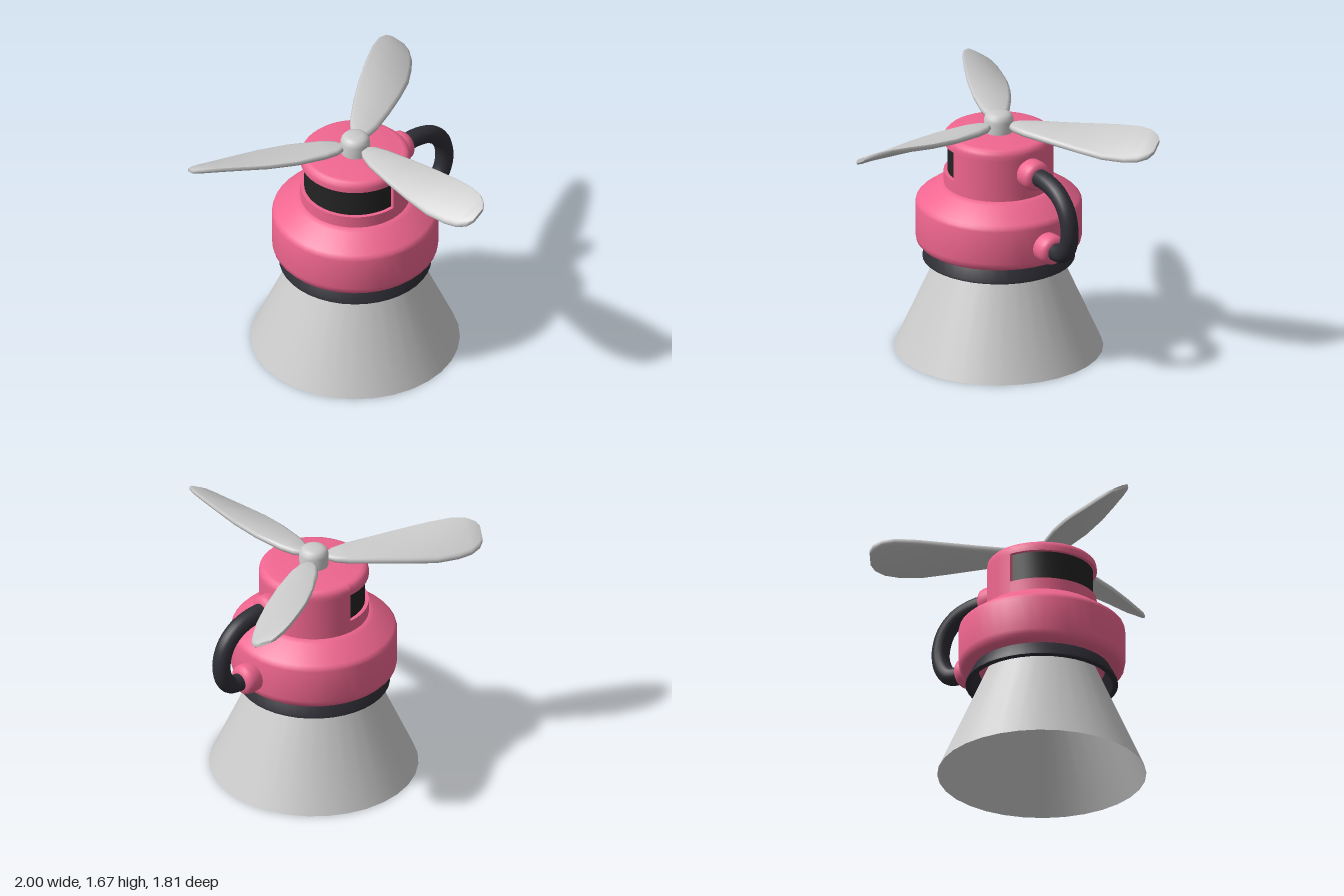
import * as THREE from 'three';
import { toCreasedNormals } from 'three/addons/utils/BufferGeometryUtils.js';

const mat = (color, side = THREE.FrontSide) => new THREE.MeshStandardMaterial({ color, side });
const grey = mat(0xcccccc);
const greyOpen = mat(0xcccccc, THREE.DoubleSide);
const pink = mat(0xf06690);
const black = mat(0x2e2e36);
const glass = mat(0x242424);

function add(parent, name, geometry, material) {
  const mesh = new THREE.Mesh(geometry, material);
  mesh.name = name;
  parent.add(mesh);
  return mesh;
}

// Turned part from [radius, height] pairs, listed bottom to top on the outside
function turned(points, start = 0, sweep = Math.PI * 2, segments = 40) {
  const profile = points.map(([r, y]) => new THREE.Vector2(r, y));
  return toCreasedNormals(new THREE.LatheGeometry(profile, segments, start, sweep), 0.65);
}

// Twisted propeller blade along +z, skinned over rounded cross-sections
function bladeGeometry() {
  // distance from hub, right edge, left edge, slope, thickness
  const stations = [
    [0.09, -0.03, 0.04, 0.05, 0.04],
    [0.13, -0.06, 0.07, 0.05, 0.05],
    [0.22, -0.09, 0.10, 0.08, 0.05],
    [0.42, -0.118, 0.135, 0.15, 0.045],
    [0.62, -0.132, 0.155, 0.27, 0.042],
    [0.80, -0.132, 0.16, 0.42, 0.04],
    [0.95, -0.11, 0.157, 0.53, 0.04],
    [1.04, -0.087, 0.142, 0.57, 0.04],
    [1.10, -0.052, 0.112, 0.58, 0.038],
    [1.125, -0.015, 0.08, 0.58, 0.025],
  ];
  const half = 5, n = half * 2;
  const pos = [], index = [];
  for (const [z, lo, hi, slope, t] of stations) {
    const r = t / 2;
    for (let j = 0; j < n; j++) {
      const right = j < half;
      const a = (right ? -0.5 : 0.5) * Math.PI + ((j % half) / (half - 1)) * Math.PI;
      const x = (right ? hi - r : lo + r) + r * Math.cos(a);
      pos.push(x, slope * x + r * Math.sin(a), z);
    }
  }
  const last = stations.length - 1;
  for (let i = 0; i < last; i++) {
    for (let j = 0; j < n; j++) {
      const k = (j + 1) % n;
      const a = i * n + j, b = i * n + k, c = b + n, d = a + n;
      index.push(a, b, d, b, c, d);
    }
  }
  // end caps
  for (let j = 1; j < n - 1; j++) {
    index.push(0, j + 1, j);
    index.push(last * n, last * n + j, last * n + j + 1);
  }
  const g = new THREE.BufferGeometry();
  g.setAttribute('position', new THREE.Float32BufferAttribute(pos, 3));
  g.setIndex(index);
  return toCreasedNormals(g, 0.85);
}

export function createModel() {
  const model = new THREE.Group();
  model.name = 'propellerDevice';
  const body = new THREE.Group();
  body.name = 'body';
  body.position.set(0.005, 0, -0.22);
  model.add(body);

  // Open flared cone and the collar above it
  add(body, 'nozzleCone', new THREE.CylinderGeometry(0.352, 0.685, 0.75, 32, 1, true).translate(0, 0.375, 0), greyOpen);
  add(body, 'collar', turned([
    [0.41, 0.745], [0.465, 0.635], [0.49, 0.635], [0.5, 0.64], [0.498, 0.655], [0.45, 0.745],
  ]), black);

  // Wide drum with rounded rims and sloped shoulder
  add(body, 'drum', turned([
    [0.3, 0.74], [0.495, 0.74], [0.522, 0.748], [0.54, 0.768], [0.546, 0.8], [0.546, 1.025],
    [0.54, 1.046], [0.525, 1.062], [0.395, 1.152], [0.375, 1.163], [0.35, 1.168], [0.2, 1.168],
  ]), pink);

  // Head: plain half on the left, half with a recessed band on the right
  const foot = [[0.36, 1.16], [0.36, 1.25]];
  const crown = [[0.36, 1.45], [0.36, 1.48], [0.354, 1.502], [0.338, 1.518], [0.315, 1.524], [0, 1.524]];
  add(body, 'headPlainHalf', turned([...foot, ...crown], 0, Math.PI, 24), pink);
  add(body, 'headWindowHalf', turned([...foot, [0.33, 1.25], [0.33, 1.45], ...crown], Math.PI, Math.PI, 24), pink);
  add(body, 'window', turned([[0.335, 1.25], [0.335, 1.45]], Math.PI, Math.PI, 24), glass);
  for (const s of [1, -1]) {
    const jamb = new THREE.PlaneGeometry(0.03, 0.2).rotateY(-Math.PI / 2).translate(0, 1.35, s * 0.345);
    add(body, 'windowJamb', jamb, pink);
  }

  // Sockets and the curved hose between them
  const socket = turned([
    [0.085, -0.02], [0.1, 0], [0.102, 0.07], [0.096, 0.095], [0.08, 0.112], [0.06, 0.117], [0, 0.117],
  ], 0, Math.PI * 2, 28).rotateZ(-Math.PI / 2);
  add(body, 'upperSocket', socket, pink).position.set(0.35, 1.345, 0);
  add(body, 'lowerSocket', socket, pink).position.set(0.535, 0.885, 0);
  const path = new THREE.CatmullRomCurve3([
    [0.42, 1.345], [0.55, 1.342], [0.68, 1.3], [0.772, 1.21], [0.81, 1.075],
    [0.788, 0.965], [0.735, 0.9], [0.66, 0.884], [0.58, 0.884],
  ].map(([x, y]) => new THREE.Vector3(x, y, 0)));
  add(body, 'hose', new THREE.TubeGeometry(path, 48, 0.06, 16), black);

  // Propeller
  const propeller = new THREE.Group();
  propeller.name = 'propeller';
  body.add(propeller);
  add(propeller, 'hub', turned([
    [0.095, 1.51], [0.097, 1.605], [0.09, 1.63], [0.075, 1.647], [0.05, 1.655], [0, 1.657],
  ], 0, Math.PI * 2, 28), grey);
  const blade = bladeGeometry();
  for (let i = 0; i < 3; i++) {
    const mesh = add(propeller, 'blade', blade, grey);
    mesh.position.y = 1.572;
    mesh.rotation.y = (i * Math.PI * 2) / 3;
  }
  return model;
}
